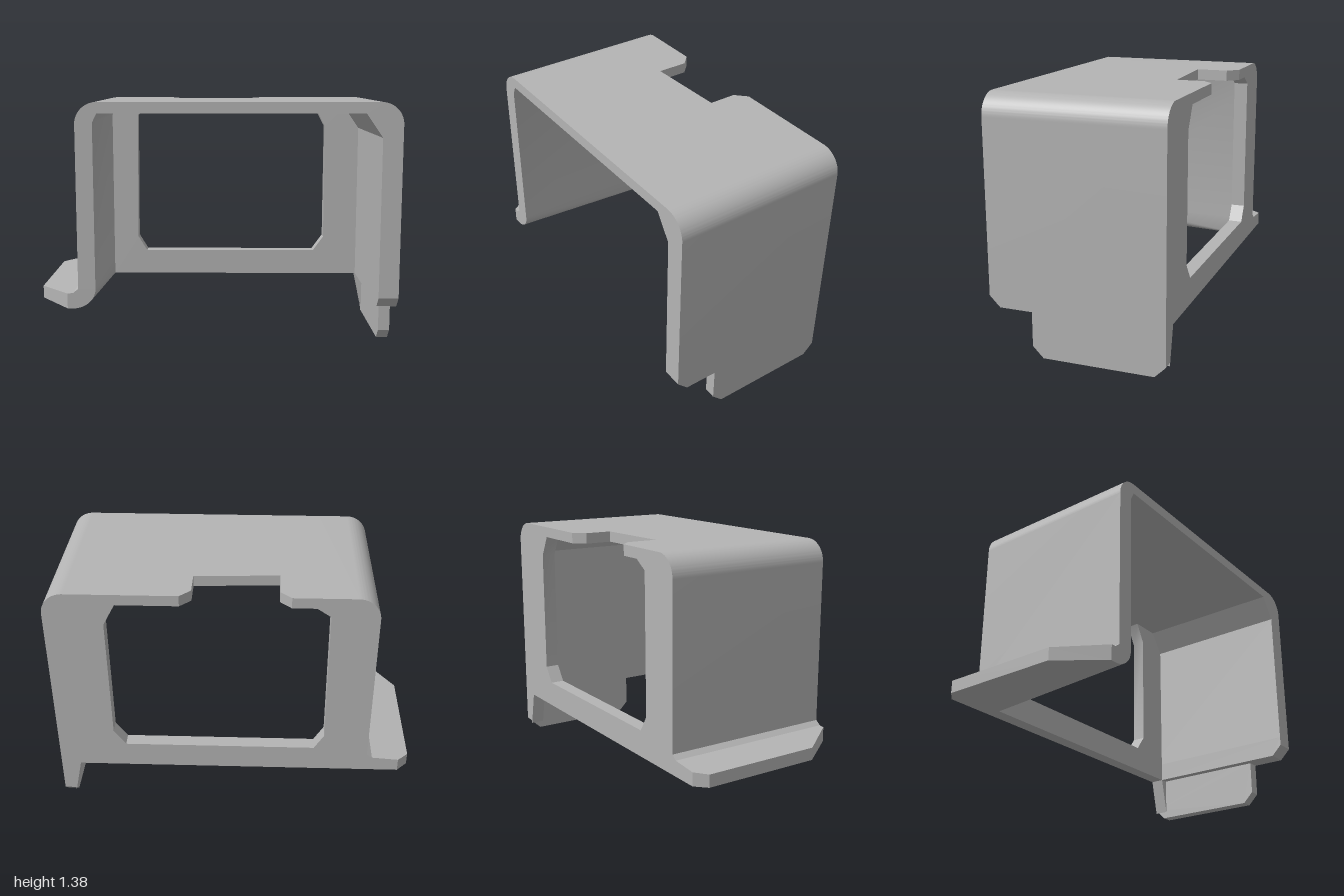
import * as THREE from 'three';
import { toCreasedNormals } from 'three/addons/utils/BufferGeometryUtils.js';

const BACK = -0.49, FRONT = 0.49;

export function createModel() {
  const model = new THREE.Group();
  model.name = 'bracket';
  const grey = new THREE.MeshStandardMaterial({ color: 0xb4b4b4 });
  grey.name = 'grey metal';

  const add = (name, geometry) => {
    const mesh = new THREE.Mesh(toCreasedNormals(geometry, 0.5), grey);
    mesh.name = name;
    model.add(mesh);
  };
  const polygon = (pts) => new THREE.Shape(pts.map(([a, b]) => new THREE.Vector2(a, b)));
  const extrude = (shape, depth) =>
    new THREE.ExtrudeGeometry(shape, { depth, bevelEnabled: false, curveSegments: 14 });
  // (x, y) outline, pushed along z
  const alongZ = (shape, z0, z1) => extrude(shape, z1 - z0).translate(0, 0, z0);
  // (x, z) outline, pushed along y
  const alongY = (pts, y0, y1) =>
    extrude(polygon(pts.map(([x, z]) => [x, -z])), y1 - y0).rotateX(-Math.PI / 2).translate(0, y0, 0);
  // (z, y) outline, pushed along x
  const alongX = (pts, x0, x1) =>
    extrude(polygon(pts.map(([z, y]) => [-z, y])), x1 - x0).rotateY(Math.PI / 2).translate(x0, 0, 0);

  // Side walls, each with its rounded top corner
  const rightSide = new THREE.Shape();
  rightSide.moveTo(-0.76, 0.36);
  rightSide.lineTo(-0.76, 1.26);
  rightSide.absarc(-0.64, 1.26, 0.12, Math.PI, Math.PI / 2, true);
  for (const [x, y] of [[-0.3, 1.38], [-0.3, 1.32], [-0.64, 1.32], [-0.665, 1.27], [-0.665, 0.36]]) rightSide.lineTo(x, y);
  add('rightWall', alongZ(rightSide, BACK, FRONT));

  const leftSide = new THREE.Shape();
  leftSide.moveTo(1, 0.36);
  leftSide.lineTo(1, 1.26);
  leftSide.absarc(0.88, 1.26, 0.12, 0, Math.PI / 2, false);
  for (const [x, y] of [[0.28, 1.38], [0.28, 1.32], [0.8, 1.32], [0.89, 1.19], [0.89, 0.36]]) leftSide.lineTo(x, y);
  add('leftWall', alongZ(leftSide, BACK, FRONT));

  // Top plate between the walls, notched at the back
  add('topPlate', alongY([
    [-0.3, BACK], [-0.24, -0.43], [-0.24, -0.255], [0.22, -0.275],
    [0.22, -0.43], [0.28, BACK], [0.28, FRONT], [-0.3, FRONT],
  ], 1.32, 1.38));

  // Back frame around the large opening
  add('backFrame', alongZ(polygon([
    [-0.665, 0.25], [0.89, 0.25], [0.89, 1.19], [0.8, 1.32], [0.615, 1.32], [0.68, 1.2],
    [0.68, 0.49], [0.615, 0.4], [-0.455, 0.4], [-0.51, 0.49], [-0.505, 1.27], [-0.43, 1.32],
    [-0.64, 1.32], [-0.665, 1.27],
  ]), BACK, -0.41));

  // Left wall foot: full-thickness inner layer, outer layer with the hanging tab
  add('leftWallFoot', alongX([
    [FRONT, 0.36], [FRONT, 0.31], [0.43, 0.25], [BACK, 0.25], [BACK, 0.36],
  ], 0.89, 0.935));
  add('leftTab', alongX([
    [FRONT, 0.36], [FRONT, 0.31], [0.43, 0.25], [0.245, 0.25], [0.245, 0.06],
    [0.185, 0], [-0.43, 0], [BACK, 0.06], [BACK, 0.36],
  ], 0.935, 1));
  add('tabGusset', alongZ(polygon([[0.89, 0.25], [0.935, 0.25], [0.935, 0.04]]), BACK, -0.41));

  // Flange with chamfered corners and a top that rises toward the wall
  const flange = alongY([
    [-0.79, BACK], [-0.94, BACK], [-1, -0.43], [-1, 0.245], [-0.82, FRONT], [-0.79, FRONT],
  ], 0.25, 0.32);
  const p = flange.attributes.position;
  for (let i = 0; i < p.count; i++) {
    if (p.getY(i) > 0.3) p.setY(i, 0.32 + (p.getX(i) + 1) * 0.081);
  }
  add('flange', flange);

  // Bend joining wall and flange: rounded at the front, tapering to a sharp corner at the back
  const section = (z, k) => {
    const pts = [[-0.79, 0.25, z]];
    for (let i = 0; i <= 12; i++) {
      const a = -Math.PI / 2 + (i / 12) * Math.PI / 2;
      const x = -0.79 + 0.125 * Math.cos(a), y = 0.36 + 0.11 * Math.sin(a);
      pts.push([-0.665 + (x + 0.665) * k, 0.25 + (y - 0.25) * k, z]);
    }
    pts.push([-0.665, 0.36, z], [-0.76, 0.36, z], [-0.79, 0.337, z]);
    return pts;
  };
  const rings = [section(FRONT, 1), section(-0.41, 0.001), section(BACK, 0.001)];
  const n = rings[0].length, index = [];
  for (let r = 0; r < 2; r++) {
    for (let i = 0; i < n; i++) {
      const a = r * n + i, b = r * n + (i + 1) % n;
      index.push(a, a + n, b, b, a + n, b + n);
    }
  }
  for (let i = 0; i < n - 2; i++) {
    index.push(n - 1, i, i + 1);
    index.push(3 * n - 1, 2 * n + i + 1, 2 * n + i);
  }
  const bend = new THREE.BufferGeometry();
  bend.setAttribute('position', new THREE.Float32BufferAttribute(rings.flat(2), 3));
  bend.setIndex(index);
  add('flangeBend', bend);

  return model;
}
